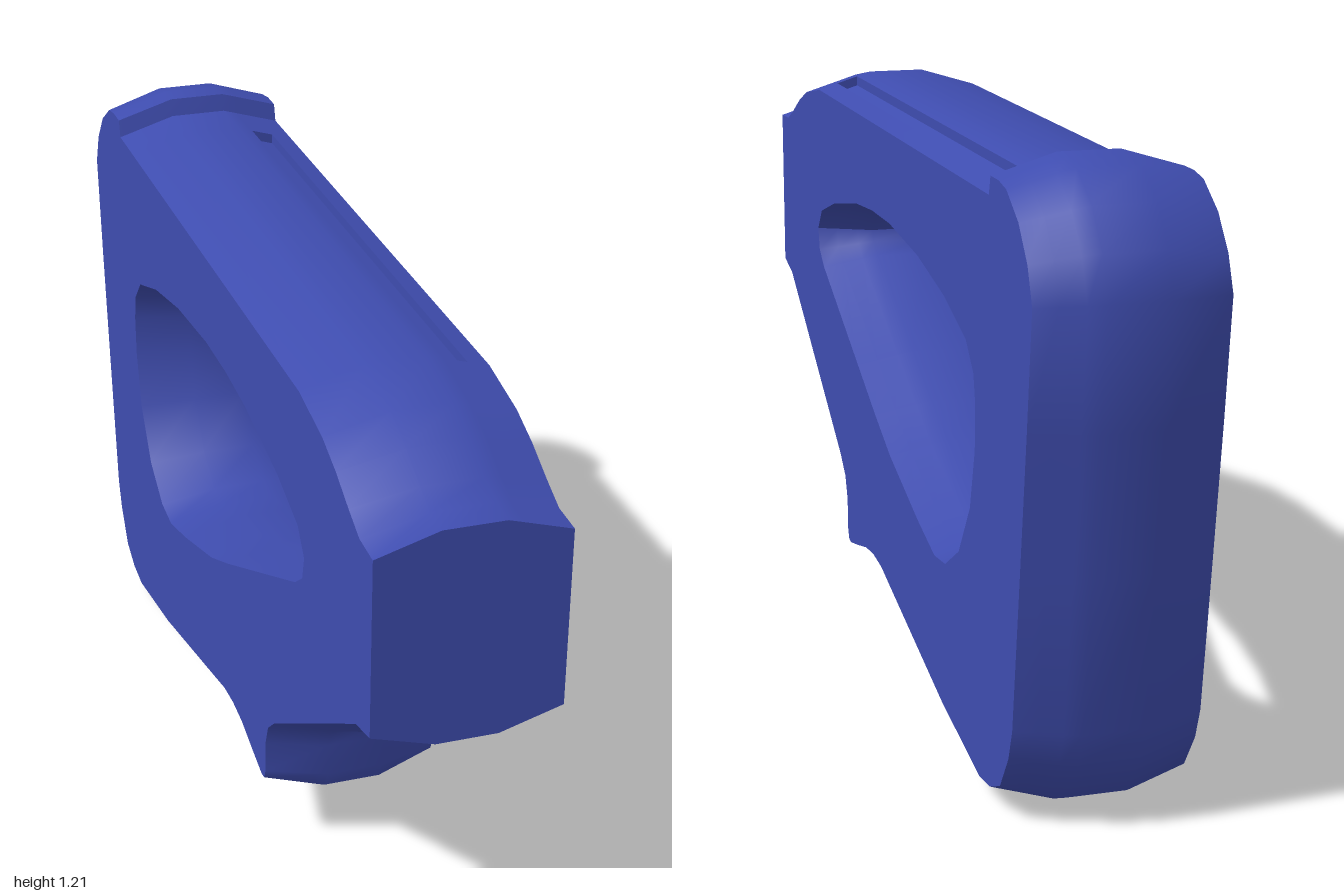
import * as THREE from 'three';
import { toCreasedNormals } from 'three/addons/utils/BufferGeometryUtils.js';

const HALF = 0.177, FLAT = 0.058;            // half width, half width of the flat middle band
const COLUMNS = [-HALF, -FLAT, FLAT, 0.09, 0.135, HALF];

// Side profiles as [z, y], running from the front over the top to the back
const OUTLINE = [
  [1, 1.06], [0.94, 1.062], [0.89, 1.085], [0.82, 1.12], [0.74, 1.15], [0.6, 1.175],
  [-0.6, 1.175], [-0.715, 1.175], [-0.725, 1.21], [-0.775, 1.21], [-0.83, 1.2],
  [-0.91, 1.15], [-0.968, 1.08], [-1, 1.0], [-0.975, 0.77], [-0.94, 0.5], [-0.9, 0.2],
  [-0.875, 0.13], [-0.815, 0.045], [-0.74, 0.01], [-0.66, 0], [-0.4, 0.045],
  [0, 0.143], [0.08, 0.163], [0.14, 0.168], [0.2, 0.163], [0.27, 0.145], [0.35, 0.128],
  [0.39, 0.14], [0.41, 0.18], [0.412, 0.25], [0.425, 0.285], [0.46, 0.315], [0.94, 0.625], [1, 0.64],
];
const HOLE = [
  [0.602, 0.815], [0.575, 0.845], [0.46, 0.88], [0.25, 0.918], [0.12, 0.928], [-0.02, 0.928],
  [-0.235, 0.907], [-0.42, 0.87], [-0.557, 0.825], [-0.596, 0.785], [-0.605, 0.74], [-0.602, 0.66],
  [-0.573, 0.55], [-0.504, 0.45], [-0.42, 0.4], [-0.354, 0.393], [-0.235, 0.425],
  [-0.02, 0.494], [0.1, 0.547], [0.25, 0.618], [0.56, 0.765], [0.595, 0.79],
].reverse();

// Profile pulled into the material, as met by the flat sides
function inset(loop, amount) {
  return loop.map(([z, y], i) => {
    const [z0, y0] = loop[(i + loop.length - 1) % loop.length];
    const [z1, y1] = loop[(i + 1) % loop.length];
    const a = new THREE.Vector2(z - z0, y - y0).normalize();
    const n = new THREE.Vector2(z1 - z, y1 - y).normalize().add(a).normalize();
    // The flat front end and the small top step only move vertically
    if (z > 0.999) return [z, y + (y > 0.85 ? -amount : amount)];
    if (y > 1.17 && z < -0.71 && z > -0.73) return [z, y - amount];
    return [z - n.y * amount, y + n.x * amount];
  });
}

function bodyGeometry() {
  const pos = [];
  const tri = (...pts) => pts.forEach((p) => pos.push(p.x, p.y, p.z));
  const quad = (a, b, c, d) => { tri(a, b, c); tri(a, c, d); };

  // Sunken slot along the top
  function slot(corners) {
    const low = corners.map((p) => p.clone().setY(p.y - 0.02));
    for (let i = 0; i < 4; i++) {
      const j = (i + 1) % 4;
      quad(corners[i], corners[j], low[j], low[i]);
    }
    quad(...low);
  }

  // Chamfered wall around a profile
  function wall(loop, inner, slotAt) {
    const rows = loop.map(([z, y], i) => COLUMNS.map((x) => {
      const t = Math.max(0, (Math.abs(x) - FLAT) / (HALF - FLAT));
      return new THREE.Vector3(x, y + (inner[i][1] - y) * t, z + (inner[i][0] - z) * t);
    }));
    rows.forEach((row, i) => {
      const next = rows[(i + 1) % rows.length];
      for (let j = 0; j < COLUMNS.length - 1; j++) {
        const corners = [row[j], row[j + 1], next[j + 1], next[j]];
        if (i === slotAt && j === 3) slot(corners);
        else quad(...corners);
      }
    });
  }

  const outer = inset(OUTLINE, 0.036), opening = inset(HOLE, 0.028);
  wall(OUTLINE, outer, 5);
  wall(HOLE, opening, -1);

  // Flat sides with the opening
  const toV2 = (loop) => loop.map(([z, y]) => new THREE.Vector2(z, y));
  const contour = toV2(outer), hole = toV2(opening);
  const all = [...contour, ...hole];
  for (const face of THREE.ShapeUtils.triangulateShape(contour, [hole])) {
    let [a, b, c] = face.map((k) => all[k]);
    if (THREE.ShapeUtils.area([a, b, c]) < 0) [b, c] = [c, b];
    const at = (p, x) => new THREE.Vector3(x, p.y, p.x);
    tri(at(a, -HALF), at(b, -HALF), at(c, -HALF));
    tri(at(a, HALF), at(c, HALF), at(b, HALF));
  }

  const geometry = new THREE.BufferGeometry();
  geometry.setAttribute('position', new THREE.Float32BufferAttribute(pos, 3));
  return toCreasedNormals(geometry, 0.8);
}

export function createModel() {
  const group = new THREE.Group();
  group.name = 'shoulderStock';
  const body = new THREE.Mesh(bodyGeometry(), new THREE.MeshStandardMaterial({ color: 0x3f4db0 }));
  body.name = 'stockBody';
  group.add(body);
  return group;
}
